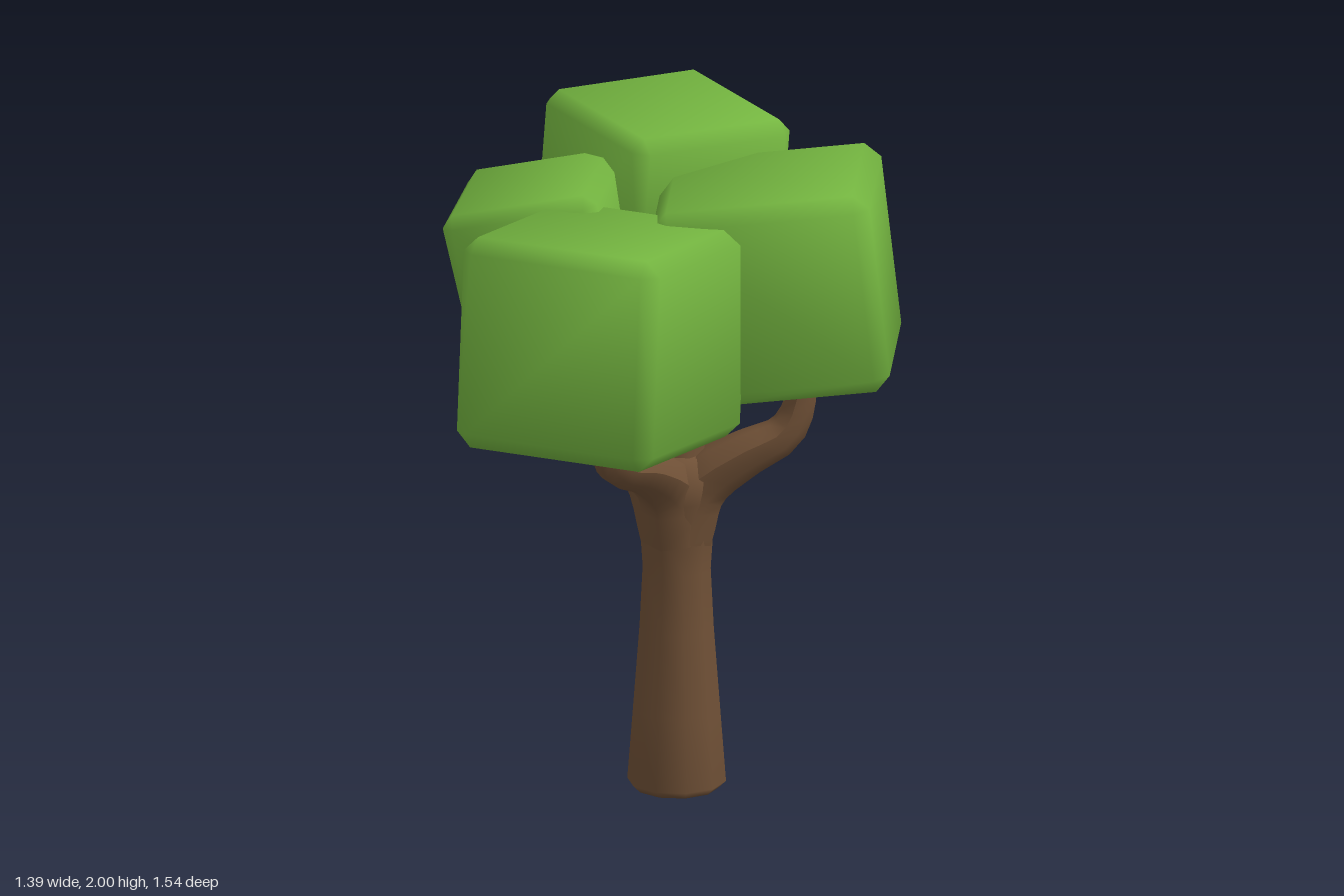
import * as THREE from 'three';
import { ConvexGeometry } from 'three/addons/geometries/ConvexGeometry.js';

const leafGreen = new THREE.MeshStandardMaterial({ color: 0x74b540 });
leafGreen.name = 'leafGreen';
const barkBrown = new THREE.MeshStandardMaterial({ color: 0x6f5036 });
barkBrown.name = 'barkBrown';

// Cube with chamfered edges and soft normals leaning toward the corners
function chamferedBox(w, h, d, bevel) {
  const half = [w / 2, h / 2, d / 2];
  const points = [];
  for (const sx of [-1, 1]) for (const sy of [-1, 1]) for (const sz of [-1, 1]) {
    for (let axis = 0; axis < 3; axis++) {
      const p = [sx, sy, sz].map((s, i) => s * (half[i] - (i === axis ? 0 : bevel)));
      points.push(new THREE.Vector3(...p));
    }
  }
  const geometry = new ConvexGeometry(points);
  const pos = geometry.attributes.position;
  const normal = geometry.attributes.normal;
  for (let i = 0; i < pos.count; i++) {
    const p = [pos.getX(i), pos.getY(i), pos.getZ(i)];
    const n = p.map((v, k) => Math.sign(v) * (Math.abs(v) > half[k] - bevel / 2 ? 0.87 : 0.34));
    normal.setXYZ(i, ...n);
  }
  return geometry;
}

// Tube along a curve that narrows from r0 to r1
function taperedTube(points, r0, r1) {
  const rings = 16, sides = 8;
  const curve = new THREE.CatmullRomCurve3(points.map((p) => new THREE.Vector3(...p)));
  const geometry = new THREE.TubeGeometry(curve, rings, 1, sides);
  const pos = geometry.attributes.position;
  const v = new THREE.Vector3();
  for (let i = 0; i <= rings; i++) {
    const t = i / rings;
    const centre = curve.getPointAt(t);
    const r = r1 + (r0 - r1) * Math.pow(1 - t, 1.3);
    for (let j = 0; j <= sides; j++) {
      const k = i * (sides + 1) + j;
      v.fromBufferAttribute(pos, k).sub(centre).multiplyScalar(r).add(centre);
      pos.setXYZ(k, v.x, v.y, v.z);
    }
  }
  geometry.computeVertexNormals();
  return geometry;
}

export function createModel() {
  const tree = new THREE.Group();
  tree.name = 'tree';
  const add = (name, geometry, material) => {
    const mesh = new THREE.Mesh(geometry, material);
    mesh.name = name;
    tree.add(mesh);
    return mesh;
  };

  // Trunk, with a flared foot and a rounded crotch
  const profile = [[0, 0], [0.122, 0.008], [0.145, 0.03], [0.128, 0.25], [0.109, 0.5], [0.1, 0.68],
    [0.108, 0.8], [0.128, 0.9], [0.135, 0.97], [0.09, 1.03], [0, 1.05]];
  const trunk = add('trunk', new THREE.LatheGeometry(profile.map((p) => new THREE.Vector2(...p)), 10), barkBrown);
  trunk.position.z = -0.08;

  // Branches, each ending inside its leaf block
  const branches = {
    frontBranch: [[0, 0.8, -0.07], [0, 0.94, -0.01], [0, 1.04, 0.16], [0, 1.1, 0.34], [0, 1.17, 0.425], [0, 1.32, 0.44]],
    leftBranch: [[0.01, 0.8, -0.08], [0.07, 0.94, -0.09], [0.2, 1.04, -0.13], [0.3, 1.1, -0.18], [0.34, 1.19, -0.2], [0.355, 1.4, -0.2]],
    rightBranch: [[-0.01, 0.8, -0.08], [-0.07, 0.94, -0.08], [-0.18, 1.07, -0.08], [-0.28, 1.18, -0.08], [-0.33, 1.28, -0.08], [-0.37, 1.46, -0.07]],
    backBranch: [[0, 0.85, -0.08], [0, 1.0, -0.09], [0.01, 1.15, -0.1], [0.025, 1.25, -0.13], [0.04, 1.36, -0.2], [0.04, 1.52, -0.27]],
  };
  for (const [name, points] of Object.entries(branches)) {
    add(name, taperedTube(points, 0.108, 0.034), barkBrown);
  }

  // Leaf blocks: size, bevel, centre, tilt (x, yaw, z)
  const blocks = [
    ['frontLeaves', [0.64, 0.63, 0.66], 0.045, [-0.02, 1.52, 0.405], [-0.09, -0.035, 0]],
    ['leftLeaves', [0.64, 0.6, 0.62], 0.045, [0.28, 1.58, -0.17], [0.035, 0.36, 0.11]],
    ['backLeaves', [0.54, 0.53, 0.55], 0.04, [-0.2, 1.71, -0.42], [0, -0.57, -0.08]],
    ['rightLeaves', [0.47, 0.45, 0.46], 0.035, [-0.38, 1.61, 0], [0.1, 0.22, 0.2]],
  ];
  for (const [name, size, bevel, centre, tilt] of blocks) {
    const block = add(name, chamferedBox(...size, bevel), leafGreen);
    block.position.set(...centre);
    block.rotation.set(...tilt, 'ZXY');
  }
  return tree;
}
